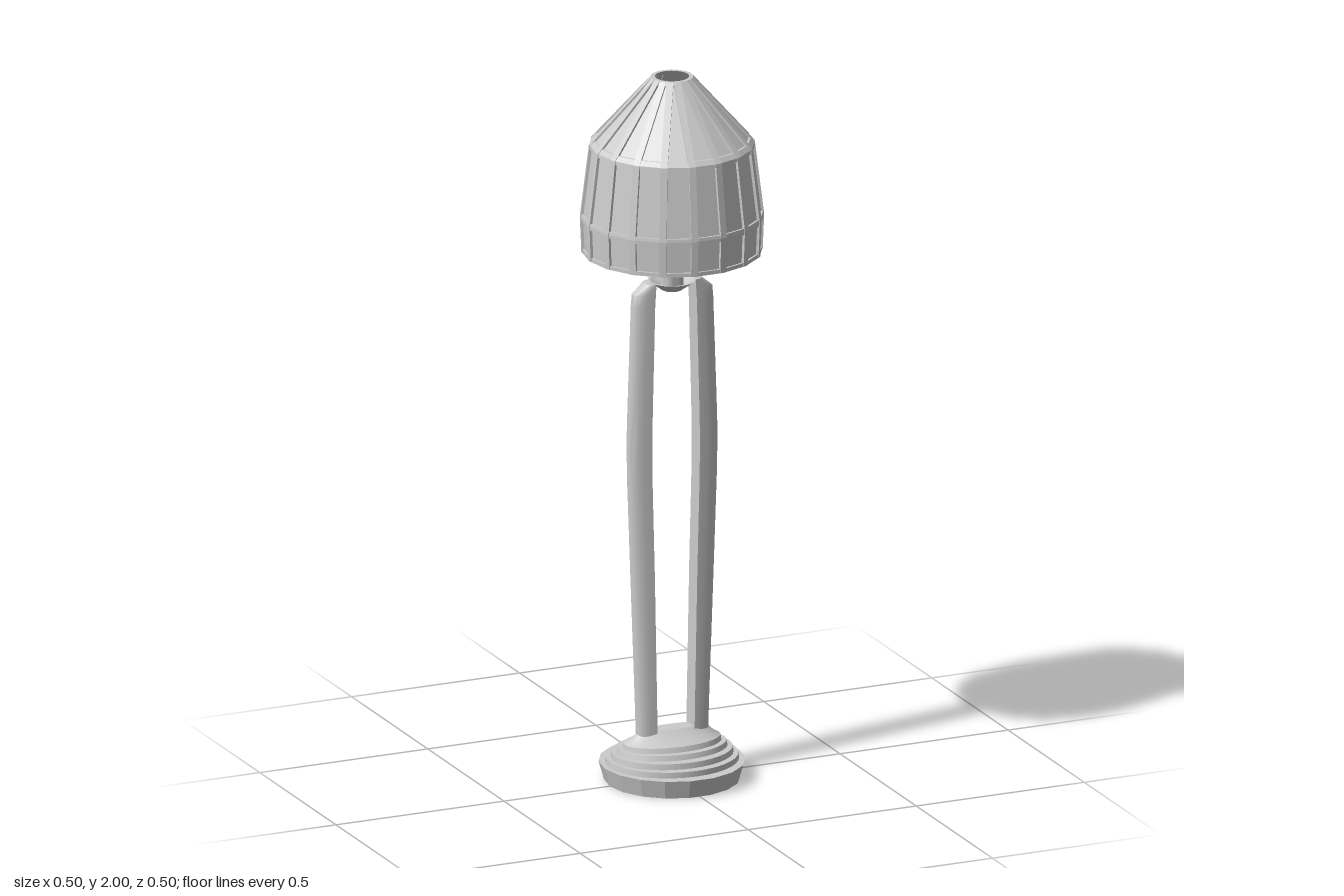
import * as THREE from 'three';
import { toCreasedNormals } from 'three/addons/utils/BufferGeometryUtils.js';

const material = new THREE.MeshStandardMaterial({ color: 0xcccccc, side: THREE.DoubleSide });
const SIDES = 18;
const STEP = (Math.PI * 2) / SIDES;

// Skin a stack of closed rings (counter-clockwise seen from above, rising in y) and cap both ends.
function loft(rings, crease = 0.5) {
  const n = rings[0].length;
  const pos = rings.flat(2);
  const index = [];
  for (let j = 0; j < rings.length - 1; j++) {
    for (let i = 0; i < n; i++) {
      const a = j * n + i, b = j * n + (i + 1) % n;
      index.push(a, b, b + n, a, b + n, a + n);
    }
  }
  const top = (rings.length - 1) * n;
  for (let i = 1; i < n - 1; i++) {
    index.push(0, i + 1, i, top, top + i, top + i + 1);
  }
  const g = new THREE.BufferGeometry();
  g.setAttribute('position', new THREE.Float32BufferAttribute(pos, 3));
  g.setIndex(index);
  return toCreasedNormals(g, crease);
}

function ellipse(rx, rz, y, n) {
  return Array.from({ length: n }, (_, i) => {
    const a = (i / n) * Math.PI * 2;
    return [rx * Math.cos(a), y, -rz * Math.sin(a)];
  });
}

// Faceted lathe whose corners line up with the ribs.
function facetedLathe(points) {
  const g = new THREE.LatheGeometry(points.map(p => new THREE.Vector2(...p)), SIDES, STEP / 2);
  return toCreasedNormals(g, 0.1);
}

export function createModel() {
  const model = new THREE.Group();
  const add = (name, geometry, parent = model) => {
    const mesh = new THREE.Mesh(geometry, material);
    mesh.name = name;
    parent.add(mesh);
    return mesh;
  };

  // Foot: flared plinth, then shallow steps narrowing to an oblong neck
  add('footPlinth', loft([ellipse(0.185, 0.185, 0, SIDES), ellipse(0.2, 0.2, 0.052, SIDES)], 0.1));
  const steps = [
    [0.185, 0.165, 0.052], [0.183, 0.165, 0.068], [0.172, 0.14, 0.068], [0.17, 0.138, 0.084],
    [0.158, 0.11, 0.084], [0.155, 0.105, 0.098], [0.142, 0.085, 0.098], [0.14, 0.08, 0.112],
    [0.122, 0.058, 0.122], [0.108, 0.036, 0.136], [0.1, 0.026, 0.145],
  ];
  add('footSteps', loft(steps.map(([rx, rz, y]) => ellipse(rx, rz, y, 36))));

  // Legs: flat inside, rounded outside, gently bowed; [inner x, outer x, y]
  const legPath = [
    [0.055, 0.106, 0.13], [0.056, 0.108, 0.2], [0.063, 0.122, 0.58], [0.07, 0.132, 0.86],
    [0.071, 0.134, 0.97], [0.069, 0.131, 1.07], [0.062, 0.121, 1.36], [0.06, 0.118, 1.392],
    [0.058, 0.084, 1.42],
  ];
  const legRings = legPath.map(([xi, xo, y]) => Array.from({ length: 13 }, (_, i) => {
    const t = -Math.PI / 2 + (i / 12) * Math.PI;
    return [xi + (xo - xi) * Math.pow(Math.max(Math.cos(t), 0), 0.7), y, -0.027 * Math.sin(t)];
  }));
  const legGeometry = loft(legRings, 0.7);
  add('leftLeg', legGeometry);
  add('rightLeg', legGeometry).rotation.y = Math.PI;

  // Dished cap joining the legs, and the post rising into the shade
  const dish = [[0, 1.393], [0.028, 1.393], [0.066, 1.421], [0.06, 1.421], [0.026, 1.4], [0, 1.4]];
  add('cap', toCreasedNormals(
    new THREE.LatheGeometry(dish.map(p => new THREE.Vector2(...p)), 32), 0.5));
  add('post', loft([ellipse(0.033, 0.026, 1.395, 24), ellipse(0.033, 0.026, 1.74, 24)]));

  // Shade: recessed panels held in a frame of hoops and ribs
  const shade = new THREE.Group();
  shade.name = 'shade';
  model.add(shade);
  const profile = [[0.246, 1.505], [0.25, 1.605], [0.225, 1.81], [0.057, 2]];
  const radiusAt = y => {
    let k = 0;
    while (k < 2 && y > profile[k + 1][1]) k++;
    const [r0, y0] = profile[k], [r1, y1] = profile[k + 1];
    return r0 + (r1 - r0) * (y - y0) / (y1 - y0);
  };
  add('shadePanels', facetedLathe(profile.map(([r, y]) => [r - 0.006, y])), shade);

  // Hoops: [lower y, upper y]
  for (const [y0, y1] of [[1.505, 1.516], [1.596, 1.614], [1.8, 1.822], [1.992, 2]]) {
    const mid = [1.605, 1.81].find(y => y > y0 && y < y1) ?? (y0 + y1) / 2;
    const outer = [y0, mid, y1].map(y => [radiusAt(y), y]);
    const inner = outer.map(([r, y]) => [r - 0.01, y]).reverse();
    add('shadeHoop', facetedLathe([...outer, ...inner, outer[0]]), shade);
  }

  // Ribs follow the shade profile
  const w = 0.0095;
  const ribGeometry = loft(profile.map(([r, y]) => [
    [r - 0.011, y, w], [r, y, w], [r, y, -w], [r - 0.011, y, -w],
  ]), 0.1);
  for (let i = 0; i < SIDES; i++) {
    add('shadeRib', ribGeometry, shade).rotation.y = i * STEP;
  }
  return model;
}
